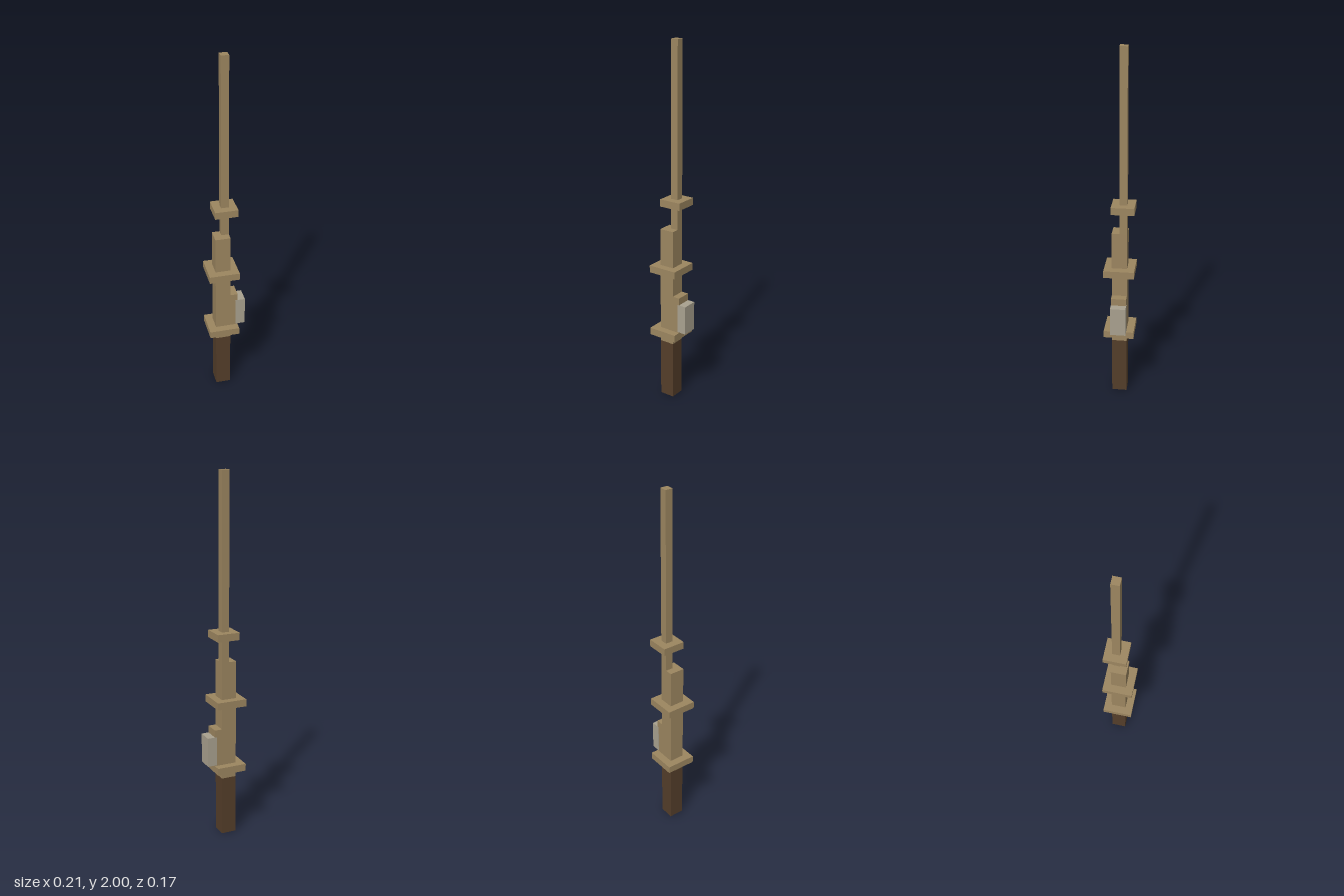
import * as THREE from 'three';

export function createModel() {
  const group = new THREE.Group();
  const material = (name, color) => {
    const m = new THREE.MeshStandardMaterial({ color });
    m.name = name;
    return m;
  };
  const tan = material('tan wood', 0x9c8660);
  const dark = material('dark brown', 0x543e2a);
  const grey = material('stone grey', 0xa9a18f);

  // Box given by its extents along each axis
  const box = (name, mat, [x0, x1], [y0, y1], [z0, z1]) => {
    const mesh = new THREE.Mesh(new THREE.BoxGeometry(x1 - x0, y1 - y0, z1 - z0), mat);
    mesh.position.set((x0 + x1) / 2, (y0 + y1) / 2, (z0 + z1) / 2);
    mesh.name = name;
    group.add(mesh);
  };

  // Shaft: grip, body and slender rod
  box('grip', dark, [-0.0625, 0.0208], [0, 0.335], [-0.0417, 0.0417]);
  box('body', tan, [-0.0625, 0.0208], [0.335, 1], [-0.0417, 0.0417]);
  box('rod', tan, [-0.0208, 0.0208], [1, 2], [-0.0417, 0]);

  // Collars
  for (const [name, y] of [['lowerCollar', 0.377], ['middleCollar', 0.753]]) {
    box(name, tan, [-0.1042, 0.0625], [y, y + 0.04], [-0.0833, 0.0833]);
  }
  box('upperCollar', tan, [-0.0625, 0.0625], [1.127, 1.167], [-0.0833, 0.0417]);

  // Side bracket with its grey block
  box('sideBracket', tan, [0.0208, 0.0625], [0.417, 0.625], [-0.0417, 0.0417]);
  box('sideBlock', grey, [0.051, 0.1042], [0.421, 0.585], [-0.0425, 0.0425]);

  return group;
}
